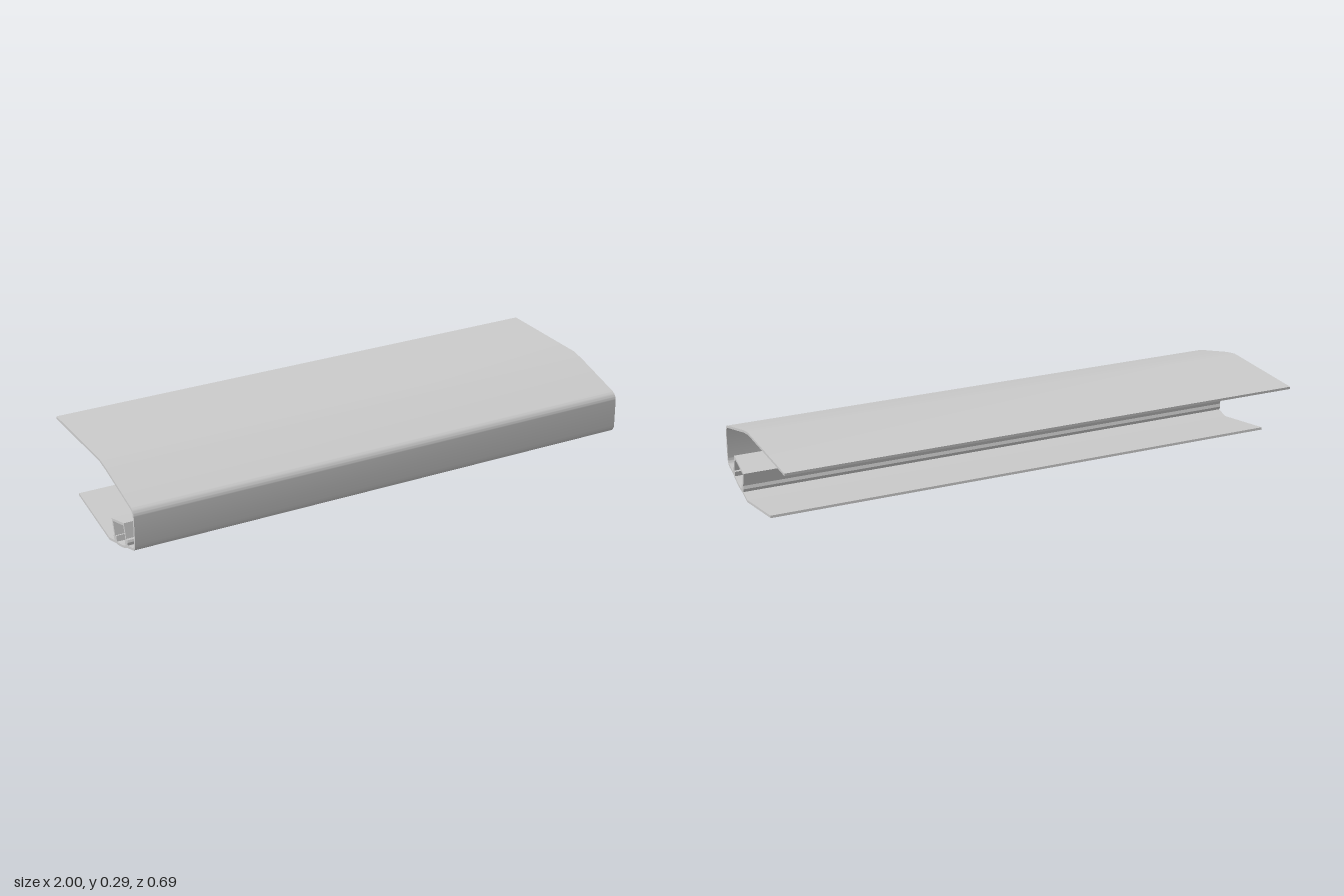
import * as THREE from 'three';
import { toCreasedNormals } from 'three/addons/utils/BufferGeometryUtils.js';

const LENGTH = 2;
const WALL = 0.009;
const material = new THREE.MeshStandardMaterial({ color: 0xcccccc });
const v = (z, y) => new THREE.Vector2(z, y);

// Extrude a closed [z, y] outline along the whole length in x
function profile(name, points) {
  const shape = new THREE.Shape(points.map((p) => v(-p.x, p.y)));
  const geo = new THREE.ExtrudeGeometry(shape, { depth: LENGTH, bevelEnabled: false });
  geo.translate(0, 0, -LENGTH / 2);
  geo.rotateY(Math.PI / 2);
  const mesh = new THREE.Mesh(toCreasedNormals(geo, 0.4), material);
  mesh.name = name;
  return mesh;
}

// Thicken a centre line into a closed sheet outline with mitred bends
function sheet(line, thickness = WALL) {
  const left = [], right = [];
  line.forEach((p, i) => {
    const a = line[Math.max(i - 1, 0)], b = line[Math.min(i + 1, line.length - 1)];
    const d1 = (i ? p.clone().sub(a) : b.clone().sub(p)).normalize();
    const d2 = (i < line.length - 1 ? b.clone().sub(p) : d1.clone()).normalize();
    const n = v(-d1.y - d2.y, d1.x + d2.x).normalize();
    const reach = thickness / 2 / (n.x * -d1.y + n.y * d1.x);
    left.push(p.clone().addScaledVector(n, reach));
    right.push(p.clone().addScaledVector(n, -reach));
  });
  return left.concat(right.reverse());
}

// Rounded bend between two points, pulled towards a corner
const bend = (a, corner, b, n = 10) =>
  new THREE.CubicBezierCurve(a, a.clone().lerp(corner, 0.6), b.clone().lerp(corner, 0.6), b).getPoints(n);

export function createModel() {
  const model = new THREE.Group();
  model.name = 'extrudedProfile';

  // Outer skin: top panel, nose, curved channel floor and lower flap
  const skin = [
    v(-0.346, 0.2895), v(0.061, 0.2895), v(0.115, 0.279),
    ...bend(v(0.32, 0.222), v(0.3435, 0.216), v(0.3435, 0.193)),
    ...bend(v(0.3435, 0.092), v(0.3435, 0.069), v(0.322, 0.0635)),
    ...bend(v(0.275, 0.051), v(0.235, 0.026), v(0.17, 0.021)),
    v(0.115, 0.006), v(-0.163, 0.058),
  ];
  model.add(profile('outerSkin', sheet(skin)));

  // Tilted inner channel standing on the floor
  const channel = [v(0.268, 0.068), v(0.2515, 0.1265), v(0.1495, 0.0985), v(0.165, 0.042)];
  model.add(profile('innerChannel', sheet(channel)));

  // Feet gripping both channel walls
  model.add(profile('frontFoot', [
    v(0.28, 0.05), v(0.281, 0.068), v(0.277, 0.076), v(0.271, 0.079),
    v(0.266, 0.07), v(0.255, 0.067), v(0.26, 0.046), v(0.27, 0.044),
  ]));
  model.add(profile('rearFoot', [
    v(0.184, 0.023), v(0.178, 0.047), v(0.166, 0.044), v(0.159, 0.05),
    v(0.154, 0.037), v(0.159, 0.027), v(0.164, 0.018),
  ]));

  return model;
}
